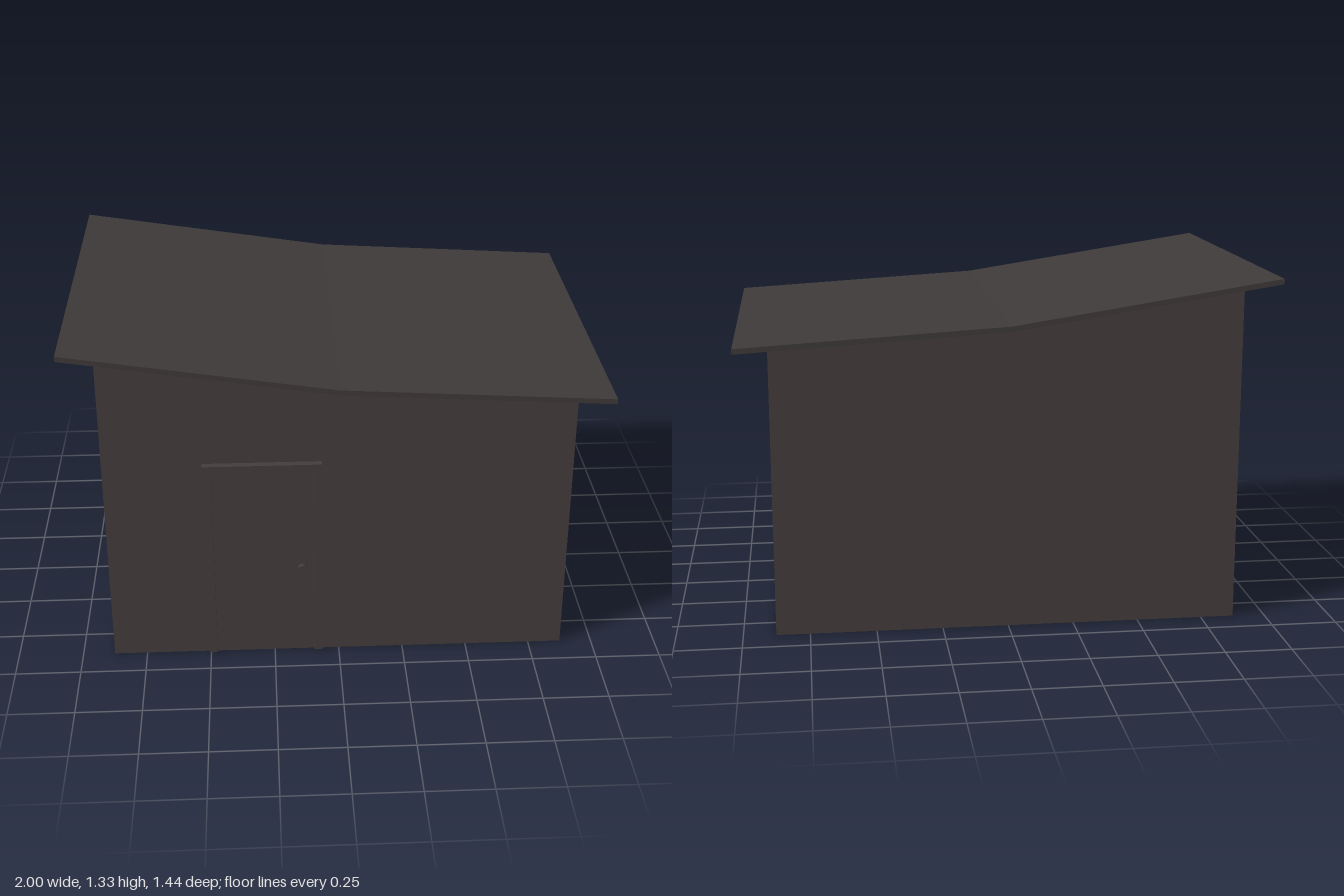
import * as THREE from 'three';

const mat = (name, color, side = THREE.FrontSide) =>
  Object.assign(new THREE.MeshStandardMaterial({ color, side }), { name });

// Polygon from a list of [x, y] corners
const polygon = (pts) => new THREE.Shape(pts.map(([x, y]) => new THREE.Vector2(x, y)));

// Extrude a polygon along z between two depths
function prism(pts, z0, z1) {
  const g = new THREE.ExtrudeGeometry(polygon(pts), { depth: z1 - z0, bevelEnabled: false });
  return g.translate(0, 0, z0);
}

export function createModel() {
  const model = new THREE.Group();
  model.name = 'shed';
  const wallMat = mat('wall brown', 0x443c3c, THREE.DoubleSide);
  const roofMat = mat('roof grey', 0x3e3a39);

  function add(name, geometry, material, parent = model) {
    const mesh = new THREE.Mesh(geometry, material);
    mesh.name = name;
    parent.add(mesh);
    return mesh;
  }

  const W = 0.877, D = 0.634;         // half width and half depth of the walls
  const LEFT = 1.286, MID = 1.152, RIGHT = 1.098;

  // Walls: thin sheets, open underneath
  const walls = new THREE.Group();
  walls.name = 'walls';
  model.add(walls);
  const gable = [[-W, 0], [W, 0], [W, RIGHT], [0, MID], [-W, LEFT]];
  add('frontWall', new THREE.ShapeGeometry(polygon(gable)), wallMat, walls).position.z = D;
  const back = add('backWall', new THREE.ShapeGeometry(polygon(gable.map(([x, y]) => [-x, y]).reverse())), wallMat, walls);
  back.position.z = -D;
  back.rotation.y = Math.PI;
  for (const [name, side, h] of [['rightWall', -1, LEFT], ['leftWall', 1, RIGHT]]) {
    const wall = add(name, new THREE.PlaneGeometry(2 * D, h), wallMat, walls);
    wall.position.set(side * W, h / 2, 0);
    wall.rotation.y = side * Math.PI / 2;
  }

  // Roof: bent slab overhanging all round
  add('roof', prism([
    [-1, 1.305], [0, 1.15], [1, 1.09],
    [1, 1.11], [0, 1.17], [-1, 1.325],
  ], -0.72, 0.72), roofMat);

  // Door with its frame and knob
  const door = new THREE.Group();
  door.name = 'door';
  model.add(door);
  add('doorFrame', prism([
    [-0.508, 0.012], [-0.475, 0.012], [-0.475, 0.803], [-0.097, 0.803],
    [-0.097, 0.012], [-0.064, 0.012], [-0.064, 0.838], [-0.508, 0.838],
  ], D, 0.66), wallMat, door);
  add('doorPanel', prism([
    [-0.475, 0.012], [-0.097, 0.012], [-0.097, 0.803], [-0.475, 0.803],
  ], D, D + 0.004), wallMat, door);
  const knob = add('doorKnob', new THREE.CylinderGeometry(0.018, 0.018, 0.02, 8), wallMat, door);
  knob.rotation.x = Math.PI / 2;
  knob.position.set(-0.14, 0.378, D + 0.012);

  return model;
}
